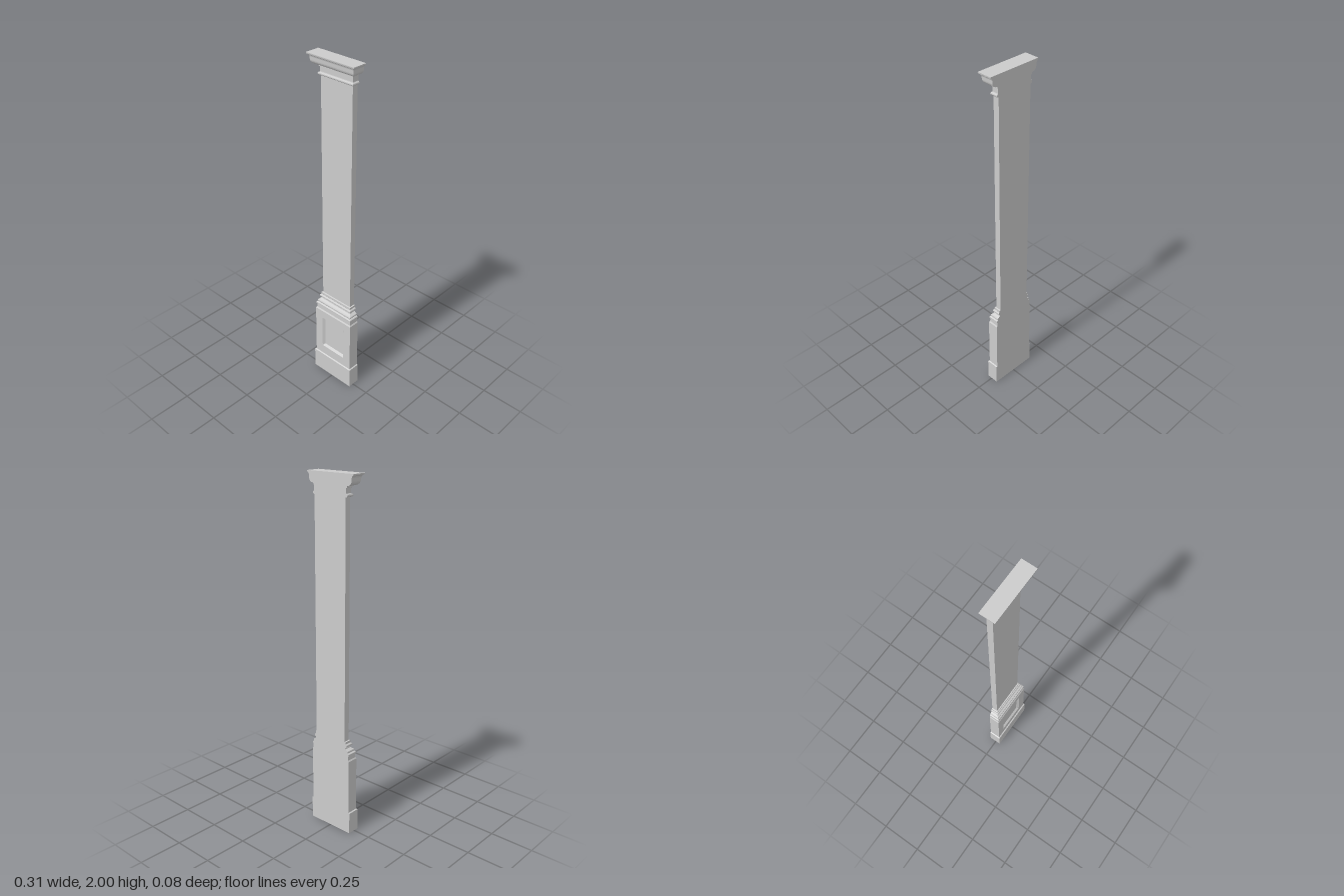
import * as THREE from 'three';

const BACK = -0.042;
const SET = 0.113; // front face depth = half width - SET
const material = new THREE.MeshStandardMaterial({ color: 0xcccccc, flatShading: true });

// Collect quads (a, b, c, d counter-clockwise) into a faceted mesh
function quadMesh(name, quads) {
  const pos = [];
  for (const [a, b, c, d] of quads) pos.push(...a, ...b, ...c, ...a, ...c, ...d);
  const geo = new THREE.BufferGeometry();
  geo.setAttribute('position', new THREE.Float32BufferAttribute(pos, 3));
  geo.computeVertexNormals();
  const mesh = new THREE.Mesh(geo, material);
  mesh.name = name;
  return mesh;
}

// Ring of four corners for a half width and a height
const ring = (w, y) => [[-w, y, BACK], [-w, y, w - SET], [w, y, w - SET], [w, y, BACK]];

// Sweep a [halfWidth, y] profile round the front and sides, with mitred corners and a flat back
function mitred(name, profile, { bottom = false, top = false, front = true } = {}) {
  const rings = profile.map(([w, y]) => ring(w, y));
  const quads = [];
  for (let i = 0; i < rings.length - 1; i++) {
    const lo = rings[i], hi = rings[i + 1];
    for (let k = 0; k < 4; k++) {
      if (k === 1 && !front) continue;
      const n = (k + 1) % 4;
      quads.push([lo[k], lo[n], hi[n], hi[k]]);
    }
  }
  if (bottom) quads.push([...rings[0]].reverse());
  if (top) quads.push(rings[rings.length - 1]);
  return quadMesh(name, quads);
}

// Points of an arc between two angles, as [halfWidth, y]
function arc(w, y, rw, ry, from, to, n = 6) {
  return Array.from({ length: n + 1 }, (_, i) => {
    const a = from + ((to - from) * i) / n;
    return [w + rw * Math.cos(a), y + ry * Math.sin(a)];
  });
}

const rect = (x, y0, y1) => [[-x, y0], [x, y0], [x, y1], [-x, y1]];

export function createModel() {
  const group = new THREE.Group();
  const H = Math.PI / 2;
  const DADO = 0.136, Y0 = 0.13, Y1 = 0.45;

  group.add(mitred('plinth', [[0.143, 0], [0.143, Y0 - 0.004], [DADO, Y0]], { bottom: true }));

  // Pedestal block with an opening in its front for the sunk panel
  group.add(mitred('pedestal', [[DADO, Y0], [DADO, Y1]], { front: false }));
  const z = DADO - SET, depth = 0.012;
  const outer = rect(0.084, 0.188, 0.4), inner = rect(0.072, 0.2, 0.388);
  const face = new THREE.Shape(rect(DADO, Y0, Y1).map(p => new THREE.Vector2(...p)));
  face.holes.push(new THREE.Path(outer.map(p => new THREE.Vector2(...p))));
  const faceMesh = new THREE.Mesh(new THREE.ShapeGeometry(face), material);
  faceMesh.name = 'pedestalFace';
  faceMesh.position.z = z;
  group.add(faceMesh);

  // Sloping frame and sunk panel
  const at = (p, d) => [p[0], p[1], z - d];
  const frame = outer.map((p, k) => {
    const n = (k + 1) % 4;
    return [at(p, 0), at(outer[n], 0), at(inner[n], depth), at(inner[k], depth)];
  });
  group.add(quadMesh('panelFrame', frame));
  group.add(quadMesh('panel', [inner.map(p => at(p, depth))]));

  // Tapered shoulder above the pedestal
  group.add(mitred('pedestalShoulder', [[DADO, Y1], [0.131, 0.458], [0.13, 0.482]]));

  // Stacked base mouldings
  group.add(mitred('baseMoulding', [
    [0.13, 0.482], [0.134, 0.483], [0.134, 0.493], [0.128, 0.497],
    ...arc(0.122, 0.505, 0.006, 0.008, -H, H),
    [0.111, 0.52], [0.109, 0.528],
    ...arc(0.111, 0.54, 0.009, 0.009, -H, H),
    [0.112, 0.551], [0.112, 0.563], [0.105, 0.565],
  ]));

  group.add(mitred('shaft', [[0.105, 0.565], [0.105, 1.885]]));

  // Neck ring and spreading capital
  group.add(mitred('neckRing', [
    [0.105, 1.885], ...arc(0.109, 1.894, 0.007, 0.008, -H, H), [0.108, 1.905],
  ]));
  group.add(mitred('capital', [
    [0.108, 1.905], [0.108, 1.93], [0.113, 1.932], [0.113, 1.939],
    ...arc(0.12, 1.967, 0.022, 0.025, -H, 0, 8),
    [0.143, 1.98], [0.146, 1.987], [0.154, 1.993], [0.155, 2],
  ], { top: true }));

  return group;
}
